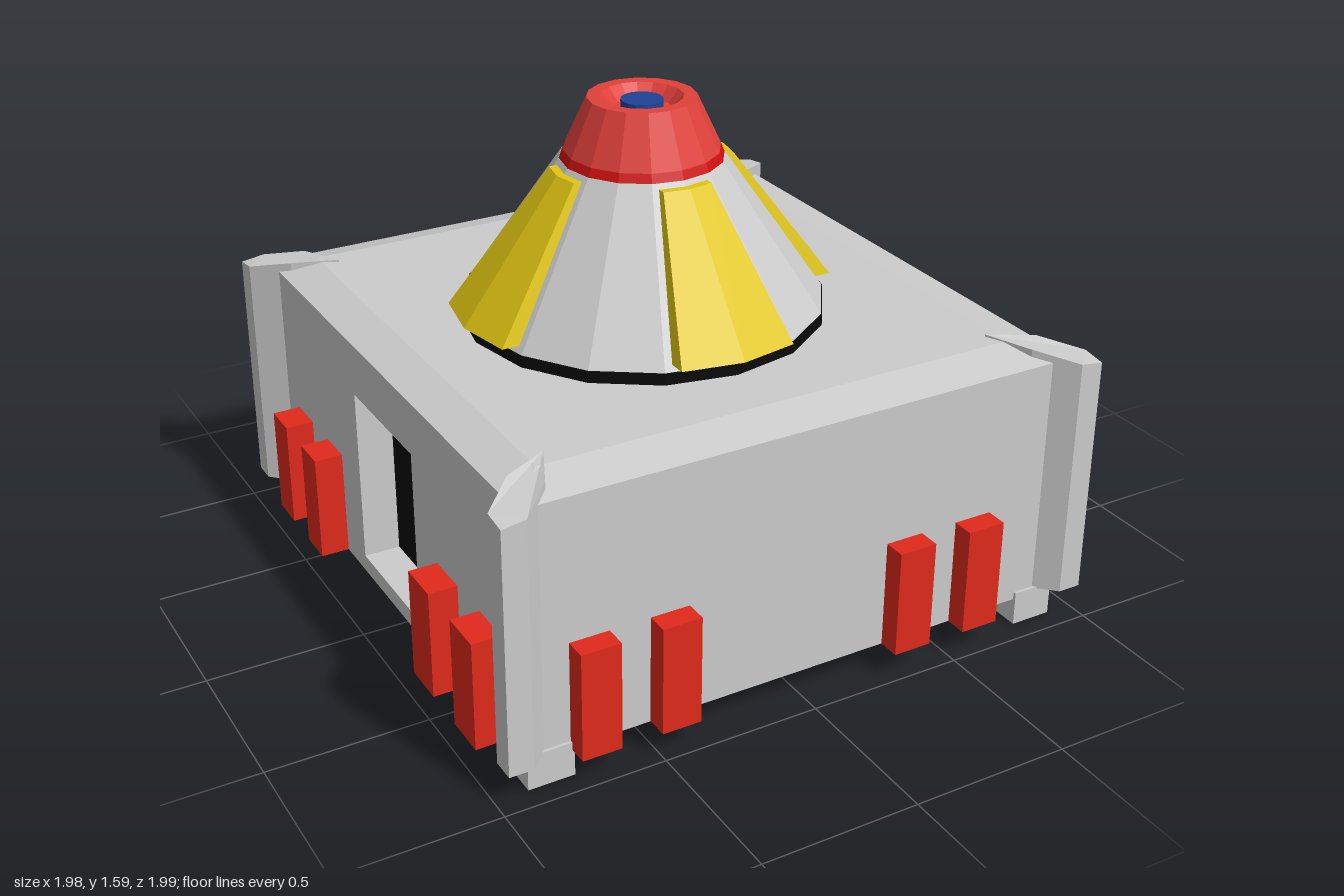
import * as THREE from 'three';

const mat = (color) => new THREE.MeshStandardMaterial({ color, flatShading: true });
const GREY = mat(0xcccccc), RED = mat(0xe02a1c), CAP = mat(0xe0403a), BAND = mat(0xd01010);
const YELLOW = mat(0xe0c612), BLACK = mat(0x0a0a0a), BLUE = mat(0x1f4496);
CAP.side = THREE.DoubleSide;

// body limits
const X0 = -0.9, X1 = 0.915, Z0 = -0.925, Z1 = 0.92, Y0 = 0.085, Y1 = 0.88, ROOF = 0.915;
const DEPTH = 0.12; // doorway recess

export function createModel() {
  const root = new THREE.Group();

  function add(name, geometry, material, parent = root) {
    const mesh = new THREE.Mesh(geometry, material);
    mesh.name = name;
    parent.add(mesh);
    return mesh;
  }

  // box given by its limits on each axis
  function box(name, material, x0, x1, y0, y1, z0, z1) {
    const g = new THREE.BoxGeometry(x1 - x0, y1 - y0, z1 - z0);
    g.translate((x0 + x1) / 2, (y0 + y1) / 2, (z0 + z1) / 2);
    return add(name, g, material);
  }

  // applies a rule to every vertex
  function reshape(g, rule) {
    const p = g.attributes.position, v = new THREE.Vector3();
    for (let i = 0; i < p.count; i++) {
      rule(v.fromBufferAttribute(p, i));
      p.setXYZ(i, v.x, v.y, v.z);
    }
    g.computeVertexNormals();
    return g;
  }

  // wall slab with a doorway, in its own plane
  function doorWall(a0, a1, d0, d1) {
    const s = new THREE.Shape([[a0, Y0], [a1, Y0], [a1, Y1], [a0, Y1]].map((p) => new THREE.Vector2(...p)));
    s.holes.push(new THREE.Path([[d0, 0.14], [d0, 0.71], [d1, 0.71], [d1, 0.14]].map((p) => new THREE.Vector2(...p))));
    return new THREE.ExtrudeGeometry(s, { depth: DEPTH, bevelEnabled: false });
  }

  // body core, walls with doorways, dark doors
  box('body', GREY, X0 + DEPTH, X1, Y0, Y1, Z0 + DEPTH, Z1);
  add('backWall', doorWall(X0, X1, -0.17, 0.205), GREY).position.z = Z0;
  const side = add('sideWall', doorWall(Z0 + DEPTH, Z1, -0.21, 0.22), GREY);
  side.rotation.y = -Math.PI / 2;
  side.position.x = X0 + DEPTH;
  box('backDoor', BLACK, -0.17, 0.205, 0.14, 0.71, Z0 + DEPTH - 0.005, Z0 + DEPTH + 0.02);
  box('sideDoor', BLACK, X0 + DEPTH - 0.005, X0 + DEPTH + 0.02, 0.14, 0.71, -0.21, 0.22);

  // bevelled roof
  add('roof', reshape(new THREE.BoxGeometry(1, 1, 1), (v) => {
    const top = v.y > 0;
    v.set(v.x < 0 ? (top ? -0.78 : X0) : (top ? 0.78 : X1), top ? ROOF : Y1,
      v.z < 0 ? (top ? -0.8 : Z0) : (top ? 0.79 : Z1));
  }), GREY);

  // diagonal corner posts, tops rising inwards over the roof bevel
  const outline = [[0.98, 0.98], [0.905, 0.98], [0.8, 0.875], [0.735, 0.735], [0.875, 0.8], [0.98, 0.905]];
  const postShape = new THREE.Shape(outline.map(([x, z]) => new THREE.Vector2(x, -z)));
  const post = new THREE.ExtrudeGeometry(postShape, { depth: 1, bevelEnabled: false }).rotateX(-Math.PI / 2);
  reshape(post, (v) => {
    const s = (1.96 - v.x - v.z) / 2;
    v.y = v.y > 0.5 ? Math.min(0.922, 0.875 + 0.28 * s) : 0.105;
  });
  for (let i = 0; i < 4; i++) {
    const m = add('cornerPost', post, GREY);
    m.rotation.y = i * Math.PI / 2;
    m.position.x = 0.006;
  }

  // feet
  for (const [x0, x1] of [[-0.895, -0.75], [0.78, 0.915]])
    for (const [z0, z1] of [[0.81, 0.93], [-0.915, -0.73]])
      box('foot', GREY, x0, x1, 0, 0.11, z0, z1);

  // red blocks along the foot of each wall
  const BT = 0.43;
  for (const x of [-0.757, -0.505, 0.285, 0.532]) box('frontBlock', RED, x, x + 0.124, Y0, BT, Z1 - 0.02, 0.99);
  for (const x of [-0.63, -0.38, 0.41, 0.655]) box('backBlock', RED, x, x + 0.122, Y0, BT, -1, Z0 + 0.02);
  for (const [a, b] of [[-0.735, -0.615], [-0.48, -0.36], [0.375, 0.515], [0.66, 0.8]])
    box('rightBlock', RED, -0.99, X0 + 0.02, Y0, BT, a, b);
  for (const [a, b] of [[-0.605, -0.485], [-0.353, -0.297], [0.375, 0.515], [0.66, 0.8]])
    box('leftBlock', RED, X1 - 0.02, 0.972, Y0, BT, a, b);

  // tower on the roof
  const tower = new THREE.Group();
  tower.name = 'tower';
  tower.position.set(-0.035, 0, 0.03);
  root.add(tower);
  function ring(name, material, rTop, rBottom, y0, y1) {
    const g = new THREE.CylinderGeometry(rTop, rBottom, y1 - y0, 16);
    add(name, g.translate(0, (y0 + y1) / 2, 0), material, tower);
  }
  ring('baseRing', BLACK, 0.563, 0.563, 0.91, 0.952);
  ring('cone', GREY, 0.25, 0.56, 0.952, 1.405);
  ring('capBand', BAND, 0.238, 0.25, 1.403, 1.432);
  const capProfile = [[0.238, 1.432], [0.165, 1.59], [0.125, 1.59], [0.09, 1.55], [0, 1.55]];
  add('cap', new THREE.LatheGeometry(capProfile.map((p) => new THREE.Vector2(...p)), 16), CAP, tower);
  ring('capStud', BLUE, 0.064, 0.064, 1.545, 1.58);

  // four raised panels, creased along the middle like the cone
  const panel = reshape(new THREE.BoxGeometry(1, 1, 1, 2, 1, 1), (v) => {
    const top = v.y > 0, mid = Math.abs(v.x) < 0.1;
    const outer = top ? (mid ? 0.285 : 0.27) : (mid ? 0.6 : 0.565);
    const inner = top ? 0.225 : 0.5;
    v.set(v.x * (top ? 0.16 : 0.374), top ? 1.39 : 0.97, v.z > 0 ? outer : inner);
  });
  for (let i = 0; i < 4; i++) add('conePanel', panel, YELLOW, tower).rotation.y = i * Math.PI / 2;

  return root;
}
